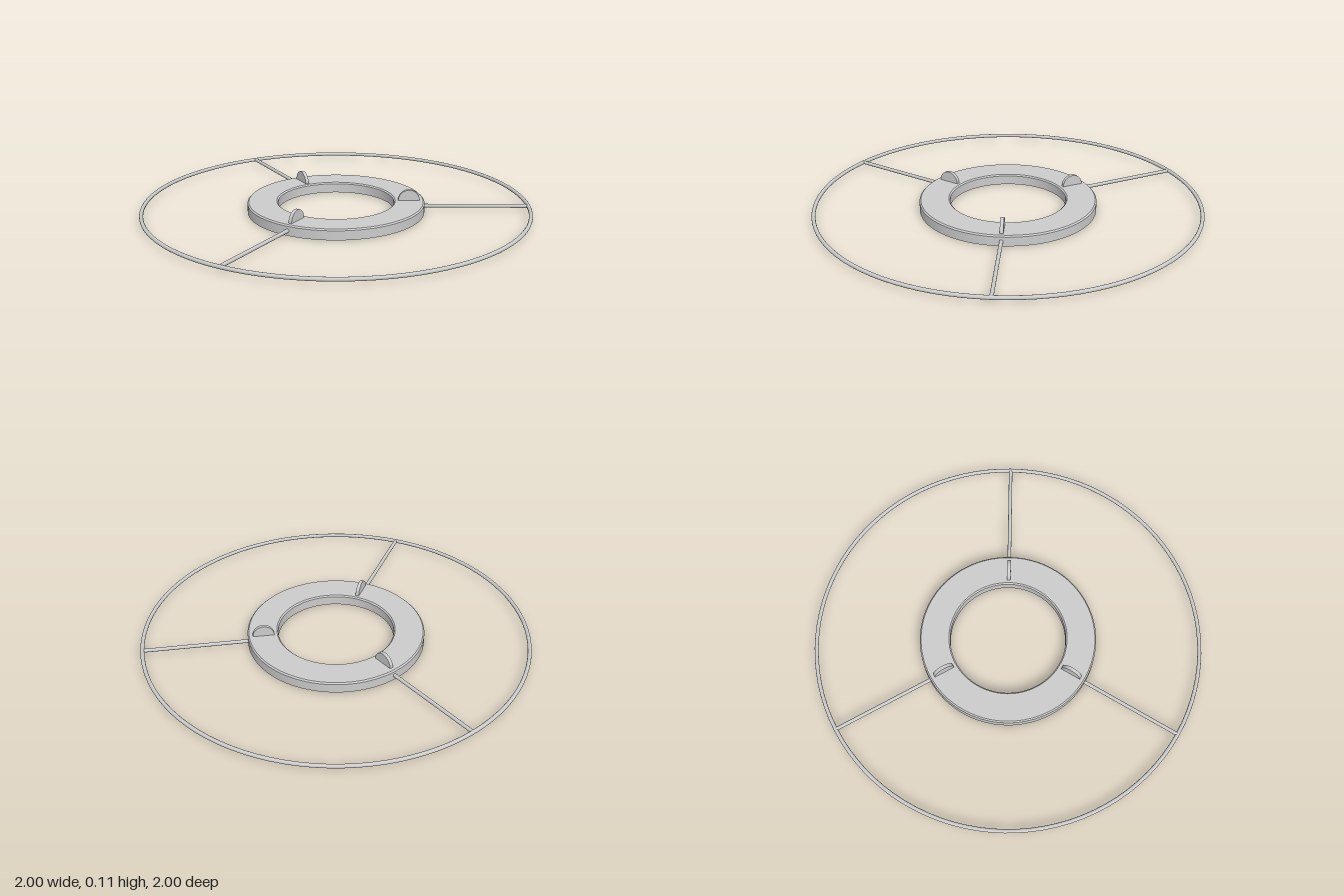
import * as THREE from 'three';
import { toCreasedNormals } from 'three/addons/utils/BufferGeometryUtils.js';

const RIM_RADIUS = 0.99, ROD = 0.01, ROD_Y = 0.025;
const TAB_CENTRE = 0.375, TAB_RADIUS = 0.055, TAB_THICK = 0.018, TOP = 0.055;

export function createModel() {
  const model = new THREE.Group();
  const grey = new THREE.MeshStandardMaterial({ color: 0xcccccc });
  const add = (parent, geometry, name) => {
    const mesh = new THREE.Mesh(geometry, grey);
    mesh.name = name;
    parent.add(mesh);
    return mesh;
  };

  // Hub: a ring-shaped channel, open underneath, with bevelled upper edges
  const profile = [
    [0.449, 0], [0.455, 0], [0.455, 0.048], [0.448, TOP],
    [0.305, TOP], [0.298, 0.048], [0.298, 0], [0.304, 0],
    [0.304, 0.049], [0.449, 0.049], [0.449, 0],
  ].map(([r, y]) => new THREE.Vector2(r, y));
  add(model, toCreasedNormals(new THREE.LatheGeometry(profile, 96), 0.5), 'hubChannel');

  // Thin outer hoop
  const hoop = new THREE.TorusGeometry(RIM_RADIUS, ROD, 12, 96).rotateX(Math.PI / 2);
  add(model, hoop, 'outerHoop').position.y = ROD_Y;

  // Spoke rod, running from inside the channel to the hoop along +z
  const inner = 0.36;
  const spoke = new THREE.CylinderGeometry(ROD * 0.95, ROD * 0.95, RIM_RADIUS - inner, 12)
    .rotateX(Math.PI / 2)
    .translate(0, ROD_Y, (RIM_RADIUS + inner) / 2);

  // Upright half-disc tab standing on the hub, in the plane of the spoke
  const half = new THREE.Shape();
  half.moveTo(TAB_RADIUS, -0.004);
  half.lineTo(TAB_RADIUS, 0);
  half.absarc(0, 0, TAB_RADIUS, 0, Math.PI, false);
  half.lineTo(-TAB_RADIUS, -0.004);
  const tab = toCreasedNormals(
    new THREE.ExtrudeGeometry(half, { depth: TAB_THICK, bevelEnabled: false, curveSegments: 24 })
      .translate(0, 0, -TAB_THICK / 2)
      .rotateY(Math.PI / 2)
      .translate(0, TOP, TAB_CENTRE), 0.5);

  // Three arms, evenly spaced, the first pointing to the front
  for (let i = 0; i < 3; i++) {
    const arm = new THREE.Group();
    arm.name = `arm${i + 1}`;
    add(arm, spoke, 'spoke');
    add(arm, tab, 'tab');
    arm.rotation.y = (i * Math.PI * 2) / 3;
    model.add(arm);
  }
  return model;
}
